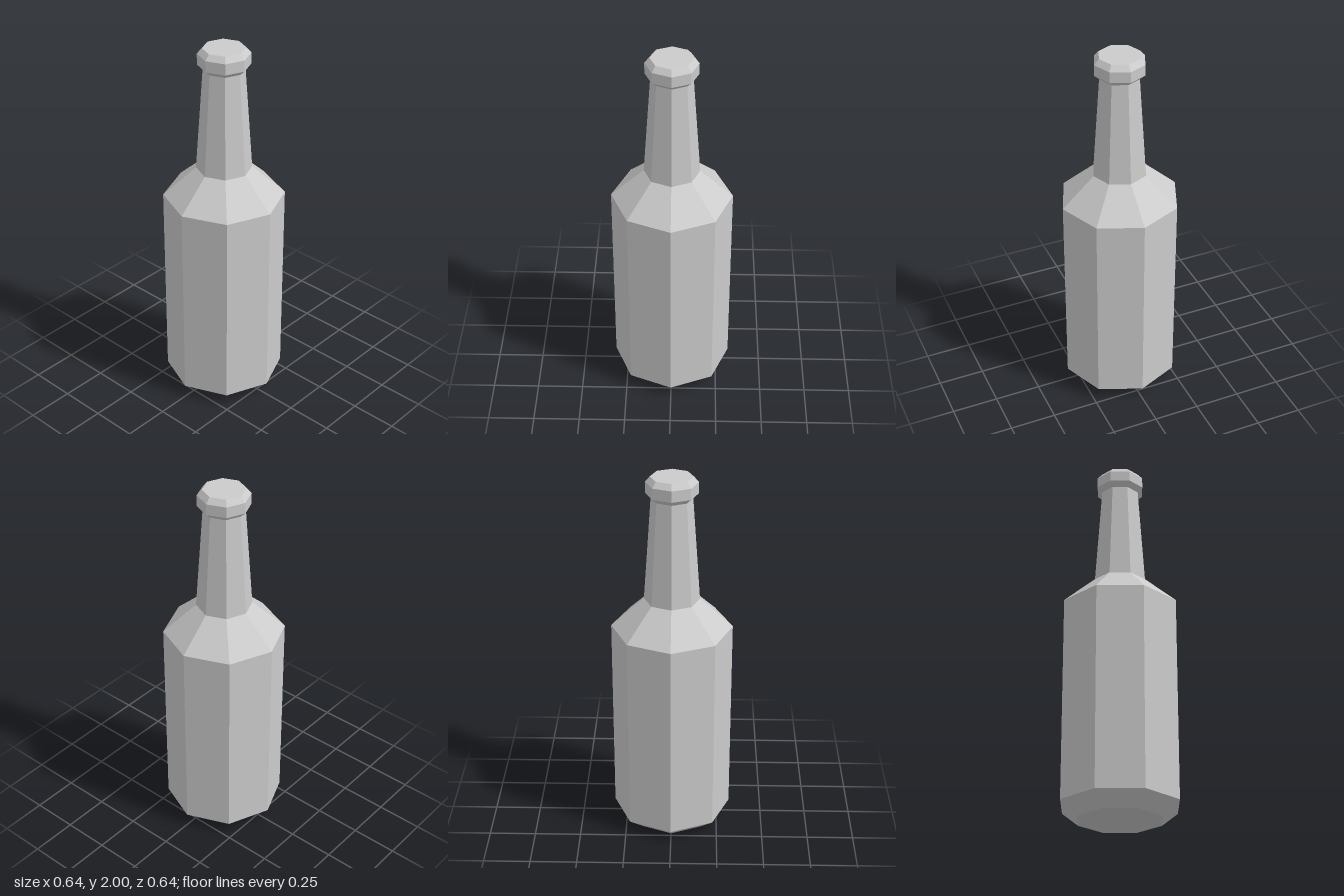
import * as THREE from 'three';

const SIDES = 8;

// Faceted ring section from a [radius, height] profile, listed bottom to top
function section(name, profile, material) {
  const points = profile.map(([r, y]) => new THREE.Vector2(r, y));
  const mesh = new THREE.Mesh(new THREE.LatheGeometry(points, SIDES), material);
  mesh.name = name;
  return mesh;
}

export function createModel() {
  const bottle = new THREE.Group();
  bottle.name = 'bottle';
  const glass = new THREE.MeshStandardMaterial({ color: 0xcccccc, flatShading: true });

  // Closed base with chamfer, straight sides and sloping shoulder
  bottle.add(section('body', [[0, 0], [0.23, 0], [0.32, 0.073], [0.32, 1.172], [0.146, 1.331]], glass));

  // Tapering neck
  bottle.add(section('neck', [[0.146, 1.331], [0.107, 1.886]], glass));

  // Bevelled lip with a closed top
  bottle.add(section('lip', [[0.107, 1.886], [0.135, 1.912], [0.135, 1.971], [0.11, 2], [0, 2]], glass));

  return bottle;
}
